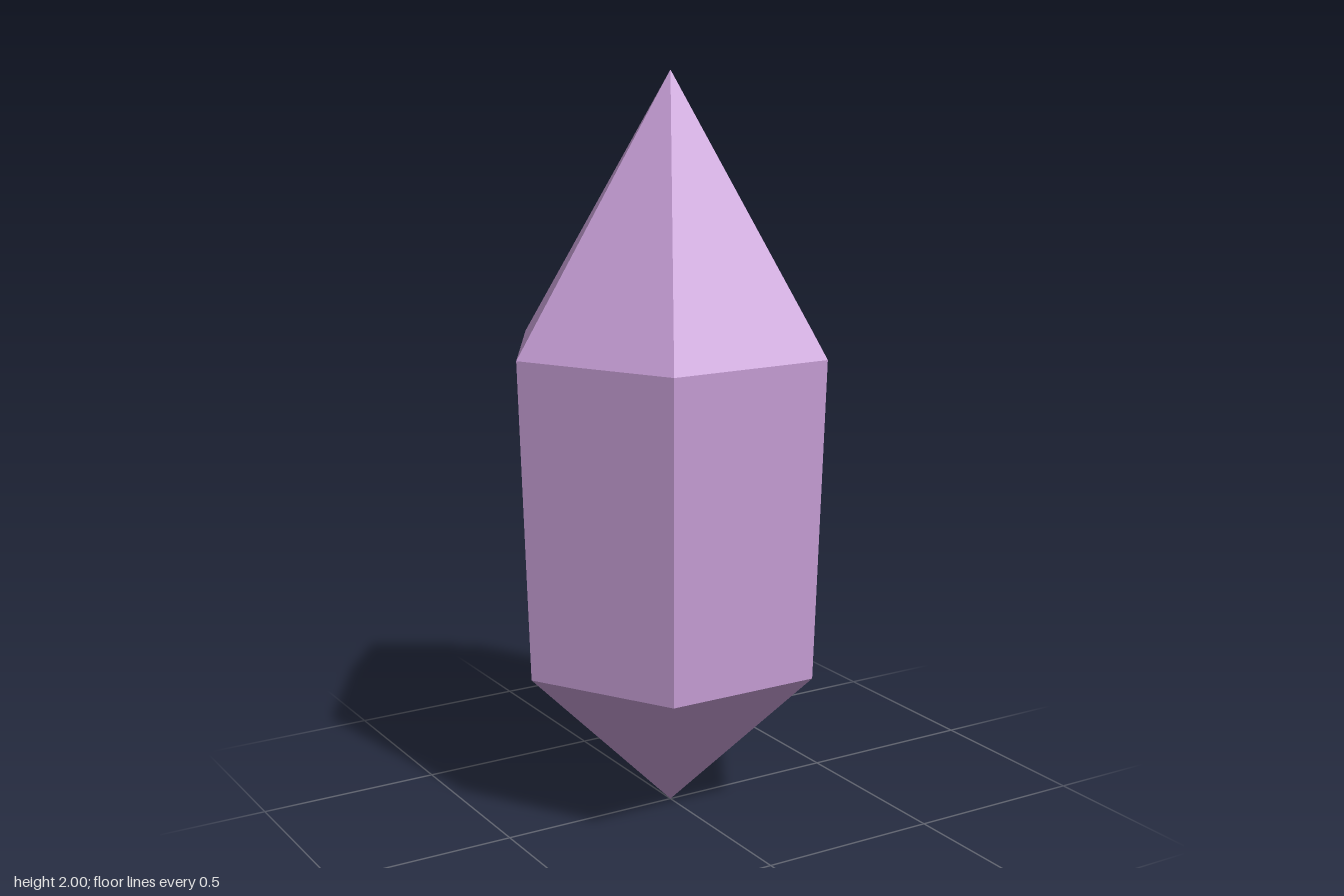
import * as THREE from 'three';

export function createModel() {
  const group = new THREE.Group();
  group.name = 'crystal';

  const lilac = new THREE.MeshStandardMaterial({ color: 0xc59dd4, flatShading: true });
  lilac.name = 'lilac';

  // Open six-sided section with corners on the x axis
  const section = (name, topRadius, bottomRadius, y0, y1) => {
    const geometry = new THREE.CylinderGeometry(topRadius, bottomRadius, y1 - y0, 6, 1, true, Math.PI / 2);
    const mesh = new THREE.Mesh(geometry, lilac);
    mesh.name = name;
    mesh.position.y = (y0 + y1) / 2;
    group.add(mesh);
  };

  const waist = 0.427, shoulder = 0.455;
  section('lowerPoint', waist, 0, 0, 0.429);
  section('shaft', shoulder, waist, 0.429, 1.286);
  section('upperPoint', 0, shoulder, 1.286, 2);

  return group;
}
